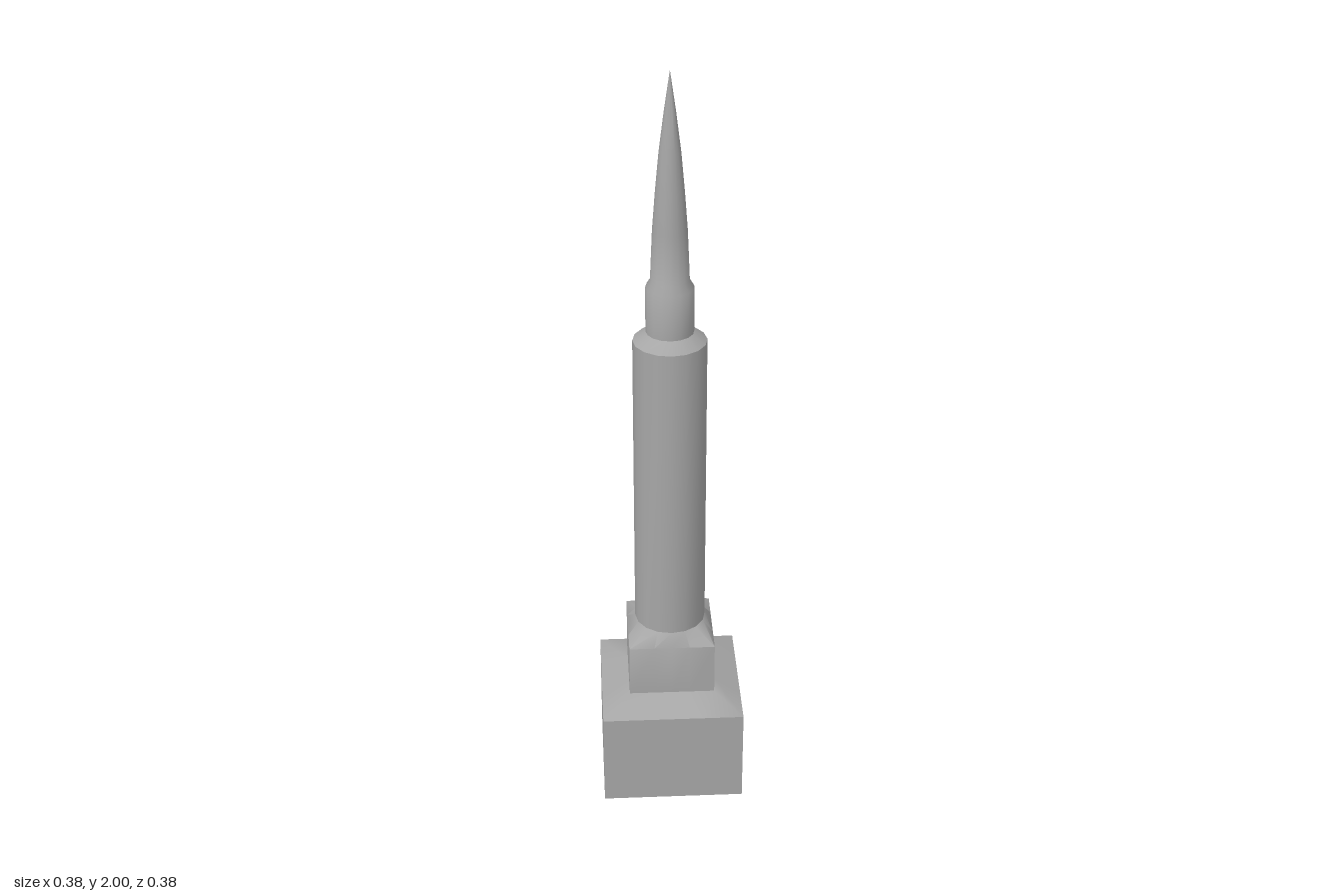
import * as THREE from 'three';
import { toCreasedNormals } from 'three/addons/utils/BufferGeometryUtils.js';

const SIDES = 16;

// Skin through stacked sections [y, half width, square?]; half width 0 closes an end.
function loft(sections) {
  const positions = [], index = [];
  for (const [y, r, square] of sections) {
    for (let i = 0; i < SIDES; i++) {
      const a = (i / SIDES) * Math.PI * 2;
      const c = Math.cos(a), s = Math.sin(a);
      const k = square ? r / Math.max(Math.abs(c), Math.abs(s)) : r;
      positions.push(c * k, y, -s * k);
    }
  }
  for (let j = 0; j < sections.length - 1; j++) {
    for (let i = 0; i < SIDES; i++) {
      const n = (i + 1) % SIDES;
      const a = j * SIDES + i, b = j * SIDES + n;
      const c = a + SIDES, d = b + SIDES;
      if (sections[j][1] > 0) index.push(a, b, d);
      if (sections[j + 1][1] > 0) index.push(a, d, c);
    }
  }
  const geometry = new THREE.BufferGeometry();
  geometry.setAttribute('position', new THREE.Float32BufferAttribute(positions, 3));
  geometry.setIndex(index);
  return toCreasedNormals(geometry, 0.68);
}

export function createModel() {
  const group = new THREE.Group();
  const stone = new THREE.MeshStandardMaterial({ color: 0xa6a6a6 });
  stone.name = 'grey stone';

  const parts = {
    // square foot with sloped shoulders
    base: [[0, 0, true], [0, 0.188, true], [0.265, 0.188, true], [0.3, 0.114, true]],
    // smaller block blending from square to round
    plinth: [[0.3, 0.114, true], [0.445, 0.114, true], [0.48, 0.094, false]],
    // main column with bevelled top
    shaft: [[0.48, 0.094], [1.305, 0.094], [1.33, 0.061]],
    // narrow neck and curved pointed spire
    spire: [
      [1.33, 0.061], [1.45, 0.061], [1.47, 0.049], [1.6, 0.0435],
      [1.7, 0.036], [1.8, 0.027], [1.9, 0.0145], [2, 0],
    ],
  };
  for (const [name, sections] of Object.entries(parts)) {
    const mesh = new THREE.Mesh(loft(sections), stone);
    mesh.name = name;
    group.add(mesh);
  }
  return group;
}
